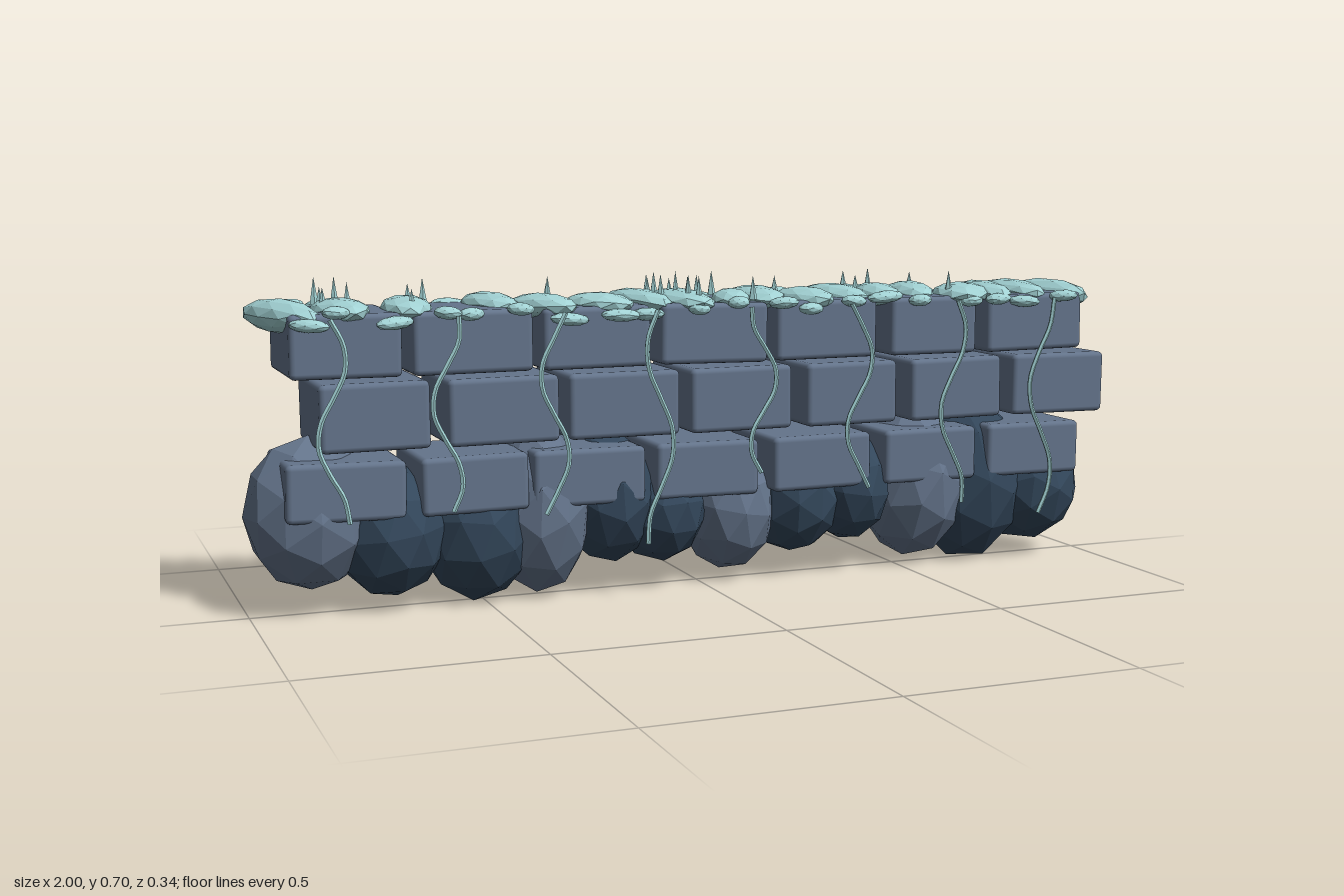
import * as THREE from 'three';
import { RoundedBoxGeometry } from 'three/addons/geometries/RoundedBoxGeometry.js';

const flat = (name, color) => {
  const m = new THREE.MeshStandardMaterial({ color, flatShading: true });
  m.name = name;
  return m;
};

// small seeded generator, returns -1..1
let seed = 7;
const rnd = () => {
  seed = (seed * 16807) % 2147483647;
  return (seed / 2147483647) * 2 - 1;
};

export function createModel() {
  seed = 7;
  const model = new THREE.Group();
  model.name = 'frostedWall';
  const brickMat = new THREE.MeshStandardMaterial({ color: 0x64748b });
  brickMat.name = 'slate brick';
  const paleRock = flat('slate rock', 0x64748b);
  const darkRock = flat('dark rock', 0x33475b);
  const frost = flat('pale frost', 0xa2d2d4);

  const add = (parent, name, geo, mat, x, y, z) => {
    const mesh = new THREE.Mesh(geo, mat);
    mesh.name = name;
    mesh.position.set(x, y, z);
    parent.add(mesh);
    return mesh;
  };
  const section = (name) => {
    const g = new THREE.Group();
    g.name = name;
    model.add(g);
    return g;
  };

  // staggered courses of bricks: [bottom, top, [left, right] pairs]
  const bricks = section('bricks');
  const courses = [
    [0.225, 0.348, [[-0.935, -0.687], [-0.655, -0.425], [-0.414, -0.163], [-0.136, 0.104], [0.142, 0.382], [0.42, 0.655], [0.687, 0.933]]],
    [0.368, 0.51, [[-0.863, -0.634], [-0.596, -0.356], [-0.334, -0.083], [-0.056, 0.184], [0.222, 0.446], [0.484, 0.719], [0.751, 0.998]]],
    [0.52, 0.652, [[-0.92, -0.69], [-0.668, -0.412], [-0.39, -0.15], [-0.125, 0.125], [0.147, 0.393], [0.43, 0.65], [0.68, 0.933]]],
  ];
  for (const [y0, y1, spans] of courses) {
    for (const [x0, x1] of spans) {
      const geo = new RoundedBoxGeometry(x1 - x0, y1 - y0, 0.256, 2, 0.012);
      add(bricks, 'brick', geo, brickMat, (x0 + x1) / 2, (y0 + y1) / 2, -0.008)
        .rotation.z = rnd() * 0.015;
    }
  }

  // faceted boulders under the wall: x, y, radiusX, radiusY, dark
  const boulders = section('boulders');
  [
    [-0.865, 0.225, 0.14, 0.165, 0], [-0.70, 0.18, 0.125, 0.145, 1],
    [-0.51, 0.17, 0.125, 0.16, 1], [-0.37, 0.205, 0.115, 0.19, 0],
    [-0.21, 0.22, 0.11, 0.15, 1], [-0.09, 0.19, 0.105, 0.125, 1],
    [0.08, 0.18, 0.11, 0.15, 0], [0.24, 0.19, 0.11, 0.13, 1],
    [0.375, 0.21, 0.1, 0.13, 1], [0.55, 0.21, 0.13, 0.185, 0],
    [0.705, 0.205, 0.14, 0.2, 1], [0.862, 0.183, 0.132, 0.14, 1],
  ].forEach(([x, y, rx, ry, dark], i) => {
    const geo = new THREE.IcosahedronGeometry(1, 1);
    geo.rotateX(i * 0.9);
    geo.rotateY(i * 1.3);
    geo.scale(rx, ry, 0.143 + rnd() * 0.007);
    add(boulders, 'boulder', geo, dark ? darkRock : paleRock, x, y, -0.015 + rnd() * 0.008);
  });

  // long flattened frost clumps lying across the top: x, z, halfWidth, halfLength, turn
  const cap = section('frostCap');
  const clump = (name, x, y, z, rx, ry, rz, turn) => {
    const geo = new THREE.IcosahedronGeometry(1, 1);
    geo.rotateX(rnd());
    geo.scale(rx, ry, rz);
    add(cap, name, geo, frost, x, y, z).rotation.set(0, turn, rnd() * 0.08);
  };
  [
    [-0.915, -0.01, 0.05, 0.15, 0.3], [-0.80, 0.025, 0.055, 0.12, 0.1],
    [-0.655, 0, 0.055, 0.135, -0.15], [-0.465, -0.04, 0.05, 0.12, 0.12],
    [-0.37, 0.045, 0.05, 0.1, 0.4], [-0.245, 0.05, 0.06, 0.09, 0.5],
    [-0.13, -0.02, 0.05, 0.14, 0.1], [-0.04, 0.01, 0.06, 0.145, 0],
    [0.065, 0.045, 0.045, 0.09, -0.3], [0.15, -0.02, 0.06, 0.135, -0.1],
    [0.24, 0.05, 0.05, 0.09, 0.3], [0.35, -0.02, 0.055, 0.125, 0.1],
    [0.455, -0.01, 0.05, 0.125, -0.25], [0.55, -0.03, 0.05, 0.12, -0.2],
    [0.645, 0.045, 0.065, 0.11, -0.35], [0.725, 0.01, 0.05, 0.14, -0.15],
    [0.82, -0.01, 0.055, 0.14, -0.1], [0.915, -0.01, 0.05, 0.14, 0.15],
  ].forEach(([x, z, rx, rz, turn], i) => {
    const end = i === 0 || i === 17;
    clump('frostClump', x, end ? 0.642 : 0.652, z, rx, end ? 0.036 : 0.027, rz, turn);
  });

  // small frost crumbs clinging to the front and back edges
  for (const side of [1, -1]) {
    for (let i = 0; i < 20; i++) {
      clump('frostCrumb', -0.9 + i * 0.094 + rnd() * 0.025, 0.642 + rnd() * 0.014,
        side * 0.134 - 0.004, 0.036 + rnd() * 0.012, 0.014, 0.024, rnd() * 0.6);
    }
  }

  // ice spikes in little groups on top: x, z
  const spikes = section('iceSpikes');
  [
    [-0.83, -0.1], [-0.83, -0.035], [-0.83, 0], [-0.79, -0.085], [-0.785, 0.03],
    [-0.635, -0.075], [-0.66, 0.075], [-0.6, -0.085], [-0.325, -0.075], [-0.35, 0.015],
    [-0.1, -0.05], [-0.075, -0.07], [-0.04, -0.065], [-0.11, -0.015], [-0.09, 0.015],
    [-0.055, 0.015], [-0.04, 0.05], [-0.005, 0.015], [-0.05, 0.08], [-0.035, 0.105],
    [0.065, -0.07], [0.095, 0.1], [0.22, -0.065], [0.42, -0.05], [0.47, -0.085],
    [0.565, -0.055], [0.595, 0.08], [0.435, -0.145],
  ].forEach(([x, z]) => {
    const h = 0.05 + rnd() * 0.012;
    add(spikes, 'iceSpike', new THREE.ConeGeometry(0.01, h, 5), frost, x, 0.656 + h / 2, z);
  });

  // wavy strands hanging in front: x, lower end
  const strands = section('hangingStrands');
  [
    [-0.845, 0.23], [-0.61, 0.24], [-0.38, 0.22], [-0.145, 0.14],
    [0.096, 0.28], [0.33, 0.23], [0.567, 0.18], [0.8, 0.14],
  ].forEach(([x, bottom], k) => {
    const pts = [];
    for (let i = 0; i <= 8; i++) {
      const t = i / 8;
      pts.push(new THREE.Vector3(Math.sin(t * 8 + k * 1.1) * 0.03,
        0.645 + (bottom - 0.645) * t, Math.sin(t * 9 + k) * 0.002));
    }
    const geo = new THREE.TubeGeometry(new THREE.CatmullRomCurve3(pts), 28, 0.0055, 5);
    add(strands, 'strand', geo, frost, x, 0, 0.16);
  });

  return model;
}
